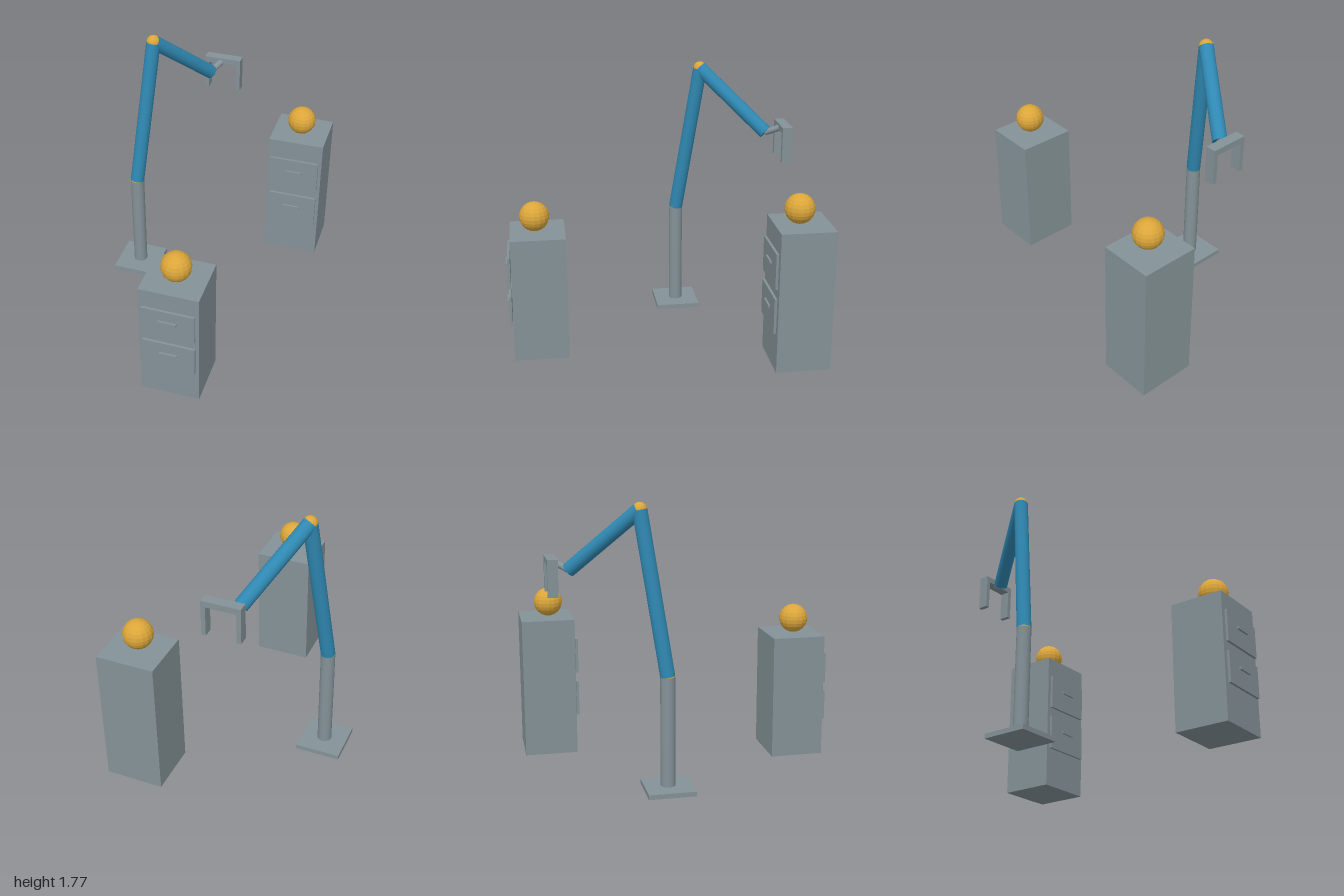
import * as THREE from 'three';

const material = (name, color) => {
  const m = new THREE.MeshStandardMaterial({ color });
  m.name = name;
  return m;
};

export function createModel() {
  const steel = material('steel grey', 0x849297);
  const blue = material('arm blue', 0x2f88b2);
  const gold = material('gold', 0xdba63a);
  gold.flatShading = true;

  const model = new THREE.Group();
  model.name = 'robotArmWithCabinets';

  const add = (parent, name, geometry, mat, x, y, z) => {
    const mesh = new THREE.Mesh(geometry, mat);
    mesh.name = name;
    mesh.position.set(x, y, z);
    parent.add(mesh);
    return mesh;
  };
  const box = (parent, name, w, h, d, x, y, z) =>
    add(parent, name, new THREE.BoxGeometry(w, h, d), steel, x, y, z);
  const ball = (parent, name, r, x, y, z) =>
    add(parent, name, new THREE.SphereGeometry(r, 16, 12), gold, x, y, z);

  // Cylinder spanning two points
  const rod = (parent, name, a, b, r, mat) => {
    const dir = b.clone().sub(a);
    const mid = a.clone().add(b).multiplyScalar(0.5);
    const mesh = add(parent, name, new THREE.CylinderGeometry(r, r, dir.length(), 24), mat, mid.x, mid.y, mid.z);
    mesh.quaternion.setFromUnitVectors(new THREE.Vector3(0, 1, 0), dir.normalize());
  };

  // Robot arm
  const arm = new THREE.Group();
  arm.name = 'robotArm';
  model.add(arm);
  const R = 0.046;
  const foot = new THREE.Vector3(-0.52, 0.03, -0.187);
  const shoulder = new THREE.Vector3(-0.52, 0.722, -0.187);
  const elbow = new THREE.Vector3(-0.427, 1.72, -0.333);
  const wrist = new THREE.Vector3(-0.165, 1.335, -0.73);
  const hand = new THREE.Vector3(-0.101, 1.388, -0.834);
  box(arm, 'basePlate', 0.295, 0.03, 0.295, foot.x, 0.015, foot.z);
  rod(arm, 'post', foot, shoulder, R, steel);
  ball(arm, 'shoulderJoint', R, ...shoulder);
  rod(arm, 'upperArm', shoulder, elbow, R, blue);
  ball(arm, 'elbowJoint', R, ...elbow);
  rod(arm, 'forearm', elbow, wrist, R, blue);
  rod(arm, 'wristRod', wrist, hand, 0.021, steel);

  // Gripper: crossbar with two fingers
  box(arm, 'gripperBar', 0.248, 0.039, 0.066, hand.x, hand.y, hand.z);
  for (const s of [-1, 1])
    box(arm, 'gripperFinger', 0.028, 0.2, 0.066, hand.x + s * 0.11, 1.275, hand.z);

  // Cabinet with two drawers and a ball on top
  const cabinet = (name, x, front, height, drawerYs, drawerH, handleLift, ballZ) => {
    const g = new THREE.Group();
    g.name = name;
    model.add(g);
    box(g, 'cabinetBody', 0.378, height, 0.348, x, height / 2, front - 0.174);
    for (const y of drawerYs) {
      box(g, 'drawerFront', 0.335, drawerH, 0.016, x, y, front + 0.013);
      box(g, 'drawerHandle', 0.113, 0.015, 0.014, x, y + handleLift, front + 0.027);
    }
    ball(g, 'ball', 0.095, x, height + 0.095, ballZ);
  };
  cabinet('frontCabinet', 0.1, 0.966, 0.815, [0.593, 0.334], 0.202, 0.02, 0.808);
  cabinet('rearCabinet', 0.475, -0.652, 0.923, [0.671, 0.376], 0.231, 0.022, -0.809);

  return model;
}
